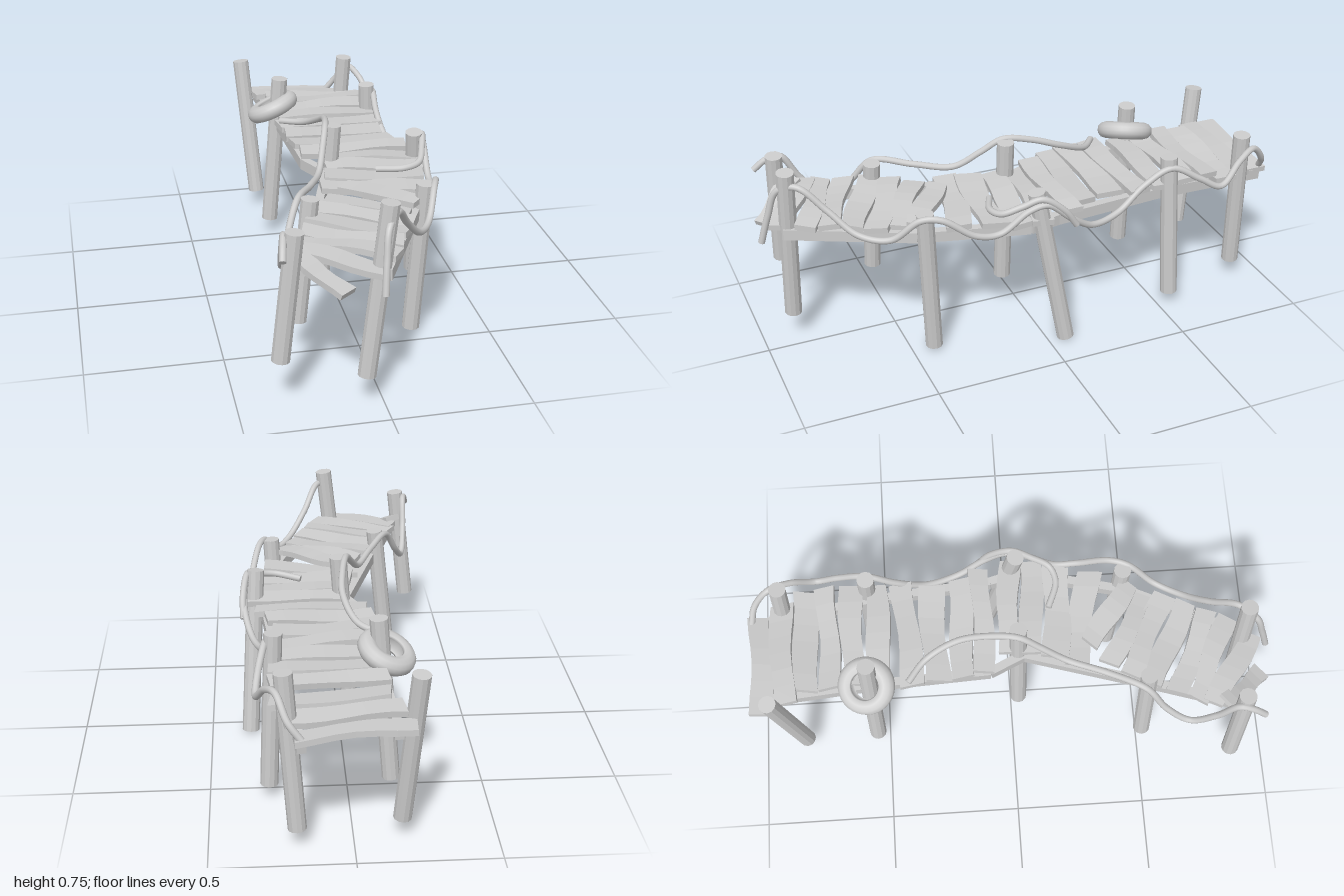
import * as THREE from 'three';

const wood = new THREE.MeshStandardMaterial({ color: 0xcccccc, flatShading: true });
const smooth = new THREE.MeshStandardMaterial({ color: 0xcccccc, side: THREE.DoubleSide });
const V = (p) => new THREE.Vector3(...p);

// A board running from a to b; wave bends its long edges, roll twists it
function board(name, a, b, width, thick, wave = 0, seed = 0) {
  const A = V(a), B = V(b), len = A.distanceTo(B);
  const geo = new THREE.BoxGeometry(len, thick, width, 6, 1, 1);
  const pos = geo.attributes.position;
  for (let i = 0; i < pos.count; i++) {
    const u = pos.getX(i) / len, side = Math.sign(pos.getZ(i));
    pos.setZ(i, pos.getZ(i) + wave * Math.sin(u * 6 + seed * 2.1 + side * 0.5));
    pos.setY(i, pos.getY(i) + wave * 0.7 * Math.sin(u * 5 + seed * 1.3));
    pos.setX(i, pos.getX(i) + wave * 0.8 * side * Math.sin(seed * 3.7));
  }
  geo.computeVertexNormals();
  const x = B.clone().sub(A).normalize();
  const z = x.clone().cross(new THREE.Vector3(0, 1, 0)).normalize();
  const y = z.clone().cross(x);
  const mesh = new THREE.Mesh(geo, wood);
  mesh.name = name;
  mesh.quaternion.setFromRotationMatrix(new THREE.Matrix4().makeBasis(x, y, z));
  if (wave) mesh.rotateX(0.09 * Math.sin(seed * 2.7));
  mesh.position.copy(A).add(B).multiplyScalar(0.5);
  return mesh;
}

// A leaning round post from its foot to its top
function post(foot, top) {
  const A = V(foot), B = V(top), d = B.clone().sub(A);
  const mesh = new THREE.Mesh(new THREE.CylinderGeometry(0.033, 0.033, d.length(), 12), wood);
  mesh.name = 'post';
  mesh.quaternion.setFromUnitVectors(new THREE.Vector3(0, 1, 0), d.normalize());
  mesh.position.copy(A).add(B).multiplyScalar(0.5);
  return mesh;
}

// A rope tube with closed ends
function rope(name, points) {
  const group = new THREE.Group();
  group.name = name;
  const curve = new THREE.CatmullRomCurve3(points.map(V));
  group.add(new THREE.Mesh(new THREE.TubeGeometry(curve, points.length * 8, 0.0125, 10), smooth));
  for (const t of [0, 1]) {
    const cap = new THREE.Mesh(new THREE.CircleGeometry(0.0125, 10), smooth);
    cap.position.copy(curve.getPointAt(t));
    cap.quaternion.setFromUnitVectors(new THREE.Vector3(0, 0, 1), curve.getTangentAt(t));
    group.add(cap);
  }
  return group;
}

export function createModel() {
  const model = new THREE.Group();
  model.name = 'footbridge';

  // Posts: foot, top
  [
    [[-0.17, 0.07, -0.83], [-0.215, 0.655, -0.90]],
    [[0.195, 0.07, -0.88], [0.235, 0.655, -0.86]],
    [[-0.157, 0.06, -0.545], [-0.106, 0.69, -0.535]],
    [[0.285, 0.05, -0.55], [0.26, 0.64, -0.53]],
    [[-0.045, 0.08, 0.03], [0.0, 0.69, 0.03]],
    [[0.35, 0.006, -0.07], [0.315, 0.64, 0.04]],
    [[-0.23, 0.14, 0.51], [-0.18, 0.61, 0.505]],
    [[0.217, 0.013, 0.415], [0.25, 0.605, 0.445]],
    [[-0.35, 0.183, 0.845], [-0.298, 0.655, 0.85]],
    [[-0.06, 0.112, 0.88], [0.012, 0.745, 0.88]],
  ].forEach(([a, b]) => model.add(post(a, b)));

  // Deck planks: left x, z, right x, z, width, optional left y, right y
  const deck = new THREE.Group();
  deck.name = 'deck';
  [
    [-0.20, -0.945, 0.20, -0.955, 0.08, 0.495, 0.465],
    [-0.17, -0.86, 0.24, -0.87, 0.085, 0.51, 0.49],
    [-0.13, -0.77, 0.28, -0.78, 0.09, 0.52, 0.50],
    [-0.13, -0.68, 0.28, -0.69, 0.075],
    [-0.12, -0.59, 0.28, -0.60, 0.085],
    [-0.12, -0.49, 0.28, -0.50, 0.085],
    [-0.14, -0.37, 0.28, -0.40, 0.085],
    [-0.13, -0.28, 0.26, -0.29, 0.095],
    [-0.12, -0.18, 0.28, -0.18, 0.085],
    [-0.10, -0.10, 0.32, -0.10, 0.075],
    [-0.03, -0.01, 0.35, 0.02, 0.08],
    [-0.04, 0.08, 0.34, 0.10, 0.085],
    [-0.06, 0.17, 0.31, 0.20, 0.10],
    [-0.09, 0.24, 0.28, 0.32, 0.09],
    [-0.02, 0.30, 0.22, 0.47, 0.08, 0.56, 0.545],
    [-0.10, 0.37, 0.17, 0.53, 0.075],
    [-0.15, 0.44, 0.17, 0.60, 0.085],
    [-0.19, 0.52, 0.13, 0.68, 0.085],
    [-0.23, 0.61, 0.09, 0.76, 0.075],
    [-0.26, 0.68, 0.06, 0.83, 0.075],
    [-0.28, 0.74, -0.01, 0.92, 0.08, 0.54, 0.52],
    [-0.29, 0.79, -0.145, 0.95, 0.07, 0.55, 0.465],
  ].forEach(([lx, lz, rx, rz, w, ly = 0.54, ry = 0.53], i) =>
    deck.add(board('plank', [lx, ly, lz], [rx, ry, rz], w, 0.022, 0.008, i + 1)));
  model.add(deck);

  // Stringers under both edges of the deck
  [
    [[-0.14, 0.47, -0.96], [-0.11, 0.495, -0.5], [-0.09, 0.495, -0.08], [-0.03, 0.495, 0.05],
      [-0.16, 0.495, 0.48], [-0.27, 0.50, 0.82]],
    [[0.18, 0.44, -0.98], [0.24, 0.485, -0.5], [0.28, 0.49, -0.06], [0.31, 0.495, 0.06],
      [0.21, 0.495, 0.46], [0.0, 0.495, 0.90]],
  ].forEach((path) => path.slice(1).forEach((p, i) =>
    model.add(board('stringer', path[i], p, 0.032, 0.042))));

  // Handrail ropes, slung from post to post
  model.add(rope('leftRope', [
    [-0.35, 0.585, 0.92], [-0.34, 0.625, 0.87], [-0.33, 0.635, 0.82], [-0.325, 0.53, 0.75],
    [-0.31, 0.445, 0.66], [-0.275, 0.50, 0.57], [-0.225, 0.60, 0.49], [-0.15, 0.59, 0.35],
    [-0.09, 0.58, 0.21], [-0.055, 0.64, 0.11], [-0.03, 0.69, 0.03], [-0.01, 0.675, -0.08],
    [-0.005, 0.63, -0.2], [-0.05, 0.575, -0.32], [-0.13, 0.56, -0.39],
  ]));
  model.add(rope('rightRope', [
    [-0.025, 0.46, 0.98], [-0.015, 0.57, 0.95], [0.0, 0.67, 0.915], [0.045, 0.695, 0.85],
    [0.10, 0.61, 0.76], [0.17, 0.525, 0.67], [0.23, 0.515, 0.57], [0.275, 0.595, 0.47],
    [0.30, 0.595, 0.40], [0.33, 0.52, 0.28], [0.335, 0.51, 0.19], [0.345, 0.585, 0.08],
    [0.355, 0.60, 0.01], [0.36, 0.53, -0.08], [0.335, 0.465, -0.18], [0.30, 0.47, -0.30],
    [0.28, 0.55, -0.42], [0.29, 0.605, -0.53], [0.315, 0.55, -0.64], [0.325, 0.505, -0.73],
    [0.295, 0.575, -0.82], [0.26, 0.60, -0.90], [0.225, 0.53, -0.965], [0.18, 0.47, -0.985],
  ]));
  model.add(rope('looseRope', [
    [0.365, 0.50, -0.10], [0.365, 0.57, -0.05], [0.35, 0.625, 0.03], [0.33, 0.60, 0.10],
    [0.30, 0.57, 0.17], [0.24, 0.56, 0.19], [0.14, 0.55, 0.155],
  ]));

  // Tyre hung over a post, tipped outward
  const profile = [
    [0.052, -0.022], [0.056, -0.030], [0.075, -0.034], [0.095, -0.028], [0.107, -0.014], [0.109, 0],
    [0.107, 0.014], [0.095, 0.028], [0.075, 0.034], [0.056, 0.030], [0.052, 0.022], [0.062, 0.016],
    [0.062, -0.016], [0.052, -0.022],
  ].map(([r, y]) => new THREE.Vector2(r, y));
  const tyre = new THREE.Mesh(new THREE.LatheGeometry(profile, 32), smooth);
  tyre.name = 'tyre';
  tyre.position.set(-0.135, 0.565, -0.545);
  tyre.quaternion.setFromUnitVectors(new THREE.Vector3(0, 1, 0), V([-0.38, 0.88, -0.2]).normalize());
  model.add(tyre);

  return model;
}
